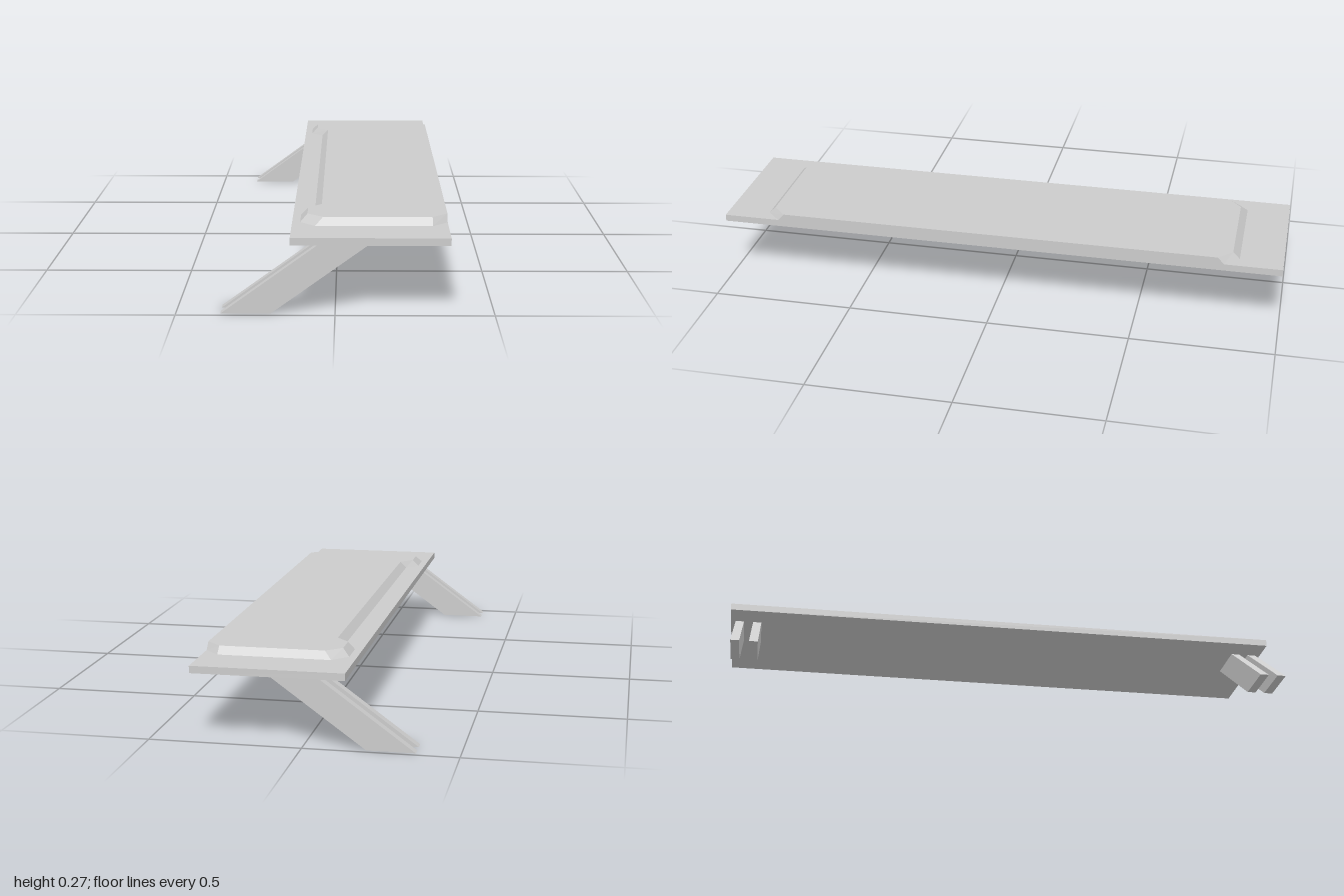
import * as THREE from 'three';

const material = new THREE.MeshStandardMaterial({ color: 0xcccccc, flatShading: true });

function addMesh(group, name, geometry) {
  const mesh = new THREE.Mesh(geometry, material);
  mesh.name = name;
  group.add(mesh);
  return mesh;
}

// Mirrors the back half [x, z] of an outline to the front half
const mirrorOutline = (half) => [...half, ...half.map(([x, z]) => [x, -z]).reverse()];

// Joins two matching outlines with sloped sides and caps the upper one
function bevelledSlab(lower, upper, y0, y1) {
  const positions = [];
  const n = lower.length;
  const low = (i) => [lower[i % n][0], y0, lower[i % n][1]];
  const high = (i) => [upper[i % n][0], y1, upper[i % n][1]];
  for (let i = 0; i < n; i++) {
    positions.push(...low(i), ...low(i + 1), ...high(i + 1));
    positions.push(...low(i), ...high(i + 1), ...high(i));
  }
  const contour = upper.map(([x, z]) => new THREE.Vector2(x, -z));
  for (const face of THREE.ShapeUtils.triangulateShape(contour, [])) {
    for (const i of face) positions.push(...high(i));
  }
  const geometry = new THREE.BufferGeometry();
  geometry.setAttribute('position', new THREE.Float32BufferAttribute(positions, 3));
  geometry.computeVertexNormals();
  return geometry;
}

export function createModel() {
  const model = new THREE.Group();
  model.name = 'raisedPlatform';

  // Flat board
  const boardBottom = 0.226, boardTop = 0.25, padTop = 0.274;
  const board = addMesh(model, 'board', new THREE.BoxGeometry(0.5, boardTop - boardBottom, 2));
  board.position.set(0.11, (boardTop + boardBottom) / 2, 0);

  // Raised pad with bevelled rim, widened at both ends
  const padLower = mirrorOutline([
    [0.36, -0.8], [0.31, -0.85], [-0.065, -0.85], [-0.114, -0.8], [-0.114, -0.7], [-0.07, -0.655],
  ]);
  const padUpper = mirrorOutline([
    [0.36, -0.778], [0.31, -0.826], [-0.04, -0.826], [-0.091, -0.782], [-0.091, -0.7], [-0.047, -0.652],
  ]);
  addMesh(model, 'raisedPad', bevelledSlab(padLower, padUpper, boardTop, padTop));

  // Slanted legs, a pair of thin plates at each end
  const legShape = new THREE.Shape([
    [-0.36, 0], [-0.203, 0], [0.108, boardBottom], [-0.05, boardBottom],
  ].map(([x, y]) => new THREE.Vector2(x, y)));
  const legThickness = 0.03;
  const legGeometry = new THREE.ExtrudeGeometry(legShape, { depth: legThickness, bevelEnabled: false });
  legGeometry.translate(0, 0, -legThickness / 2);
  for (const side of [1, -1]) {
    const pair = new THREE.Group();
    pair.name = side > 0 ? 'frontLegs' : 'backLegs';
    for (const z of [0.905, 0.968]) {
      addMesh(pair, z < 0.95 ? 'innerLeg' : 'outerLeg', legGeometry).position.z = side * z;
    }
    model.add(pair);
  }
  return model;
}
